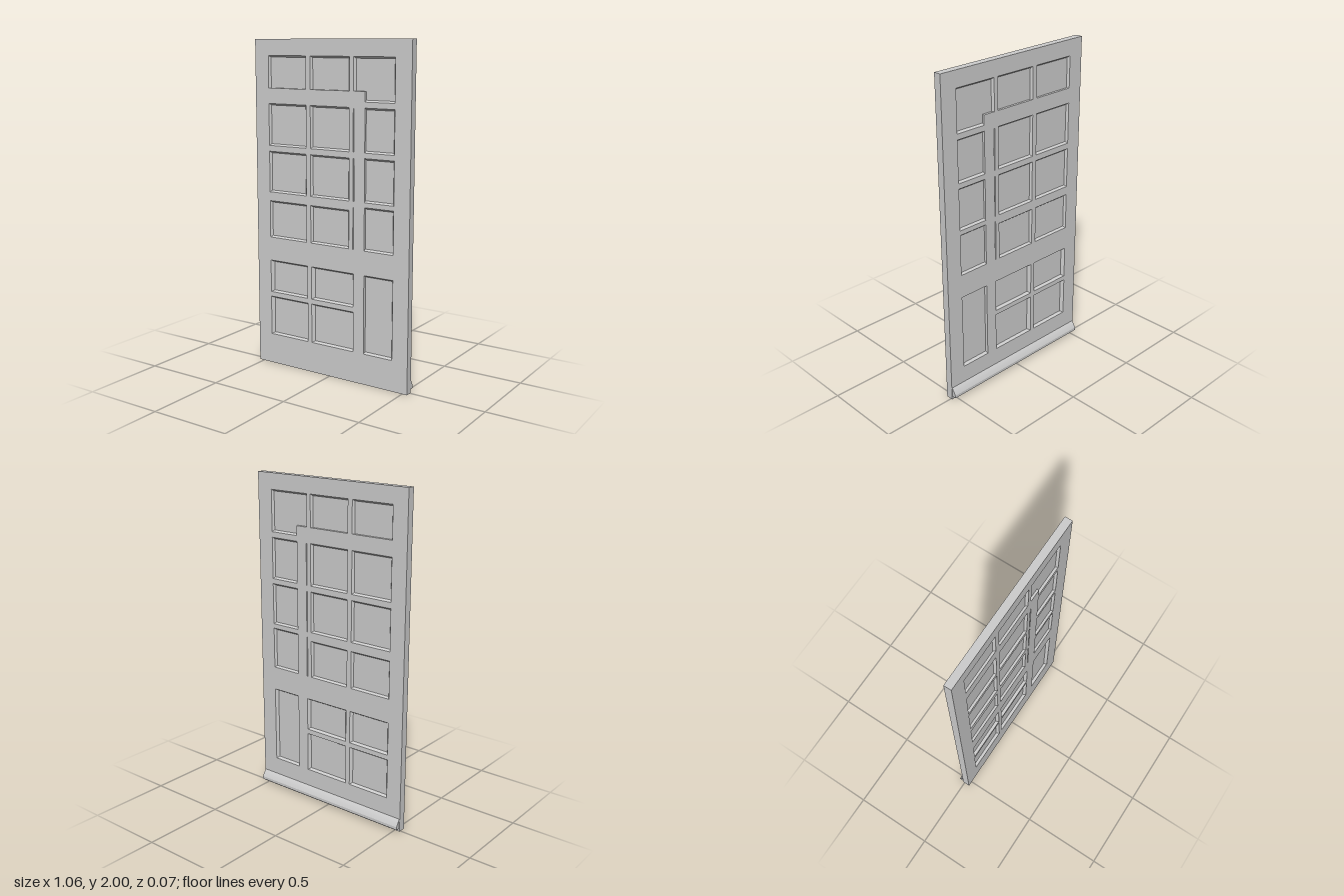
import * as THREE from 'three';

const W = 0.532, H = 2, FRONT = 0.036, BACK = -0.009;

// Rectangular recess: outer outline and the outline inset by its moulding
function rect(x0, x1, y0, y1, [l, r, b, t], depth) {
  const corners = (a, c, d, e) => [[a, d], [c, d], [c, e], [a, e]];
  return { outer: corners(x0, x1, y0, y1), inner: corners(x0 + l, x1 - r, y0 + b, y1 - t), depth };
}

function recesses() {
  const list = [], up = 0.013, low = 0.018;
  const L = [-0.435, -0.165], M = [-0.134, 0.134], R = [0.238, 0.43];
  const m = 0.01;
  // upper grid
  for (const [x0, x1] of [L, M]) {
    list.push(rect(x0, x1, 1.713, 1.904, [m, m, 0.001, m], up));
    for (const [y0, y1] of [[1.371, 1.622], [1.088, 1.336], [0.807, 1.034]])
      list.push(rect(x0, x1, y0, y1, [m, m, m, m], up));
  }
  // narrow column, with the thin slots left beside its wide stile
  for (const [y0, y1] of [[1.371, 1.622], [1.088, 1.34], [0.807, 1.06]]) {
    list.push(rect(...R, y0, y1, [0.001, m, m, m], up));
    list.push(rect(0.161, 0.167, y0, Math.min(y1, y0 + 0.247), [0.001, 0.001, 0.001, 0.001], up));
  }
  // stepped top corner recess
  list.push({
    outer: [[0.238, 1.655], [0.43, 1.655], [0.43, 1.904], [0.162, 1.904], [0.162, 1.713], [0.238, 1.713]],
    inner: [[0.239, 1.665], [0.42, 1.665], [0.42, 1.894], [0.172, 1.894], [0.172, 1.714], [0.239, 1.714]],
    depth: up,
  });
  // lower panels
  const deep = [0.015, 0.012, 0.009, 0.011];
  for (const [x0, x1] of [[-0.435, -0.159], [-0.13, 0.166]])
    for (const [y0, y1] of [[0.461, 0.662], [0.188, 0.431]])
      list.push(rect(x0, x1, y0, y1, deep, low));
  list.push(rect(...R, 0.188, 0.662, [0.001, 0.012, 0.009, 0.011], low));
  return list;
}

const vecs = (pts) => pts.map(([x, y]) => new THREE.Vector2(x, y));

// Turn a front-facing flat geometry to face the back
function faceBack(geo) {
  const idx = geo.index.array;
  for (let i = 0; i < idx.length; i += 3) [idx[i], idx[i + 1]] = [idx[i + 1], idx[i]];
  const n = geo.attributes.normal;
  for (let i = 0; i < n.count; i++) n.setXYZ(i, -n.getX(i), -n.getY(i), -n.getZ(i));
  return geo;
}

// Sloping moulding between two outlines
function mouldingGeometry({ outer, inner }, z0, z1, back) {
  const pos = [];
  outer.forEach((a, i) => {
    const j = (i + 1) % outer.length;
    const p = [[...a, z0], [...outer[j], z0], [...inner[j], z1], [...inner[i], z1]];
    for (const k of back ? [0, 2, 1, 0, 3, 2] : [0, 1, 2, 0, 2, 3]) pos.push(...p[k]);
  });
  const geo = new THREE.BufferGeometry();
  geo.setAttribute('position', new THREE.Float32BufferAttribute(pos, 3));
  geo.computeVertexNormals();
  return geo;
}

export function createModel() {
  const door = new THREE.Group();
  door.name = 'door';
  const paint = new THREE.MeshStandardMaterial({ color: 0xcccccc });
  paint.name = 'grey paint';
  const add = (name, geo) => {
    const mesh = new THREE.Mesh(geo, paint);
    mesh.name = name;
    door.add(mesh);
    return mesh;
  };

  // Pierced faces, mouldings and sunken panels on both sides
  const list = recesses();
  for (const back of [false, true]) {
    const side = back ? 'back' : 'front', z = back ? BACK : FRONT;
    const flat = (shape, at) => {
      const geo = new THREE.ShapeGeometry(shape).translate(0, 0, at);
      return back ? faceBack(geo) : geo;
    };
    const face = new THREE.Shape(vecs([[-W, 0], [W, 0], [W, H], [-W, H]]));
    for (const r of list) {
      face.holes.push(new THREE.Path(vecs(r.outer)));
      const zp = z + (back ? r.depth : -r.depth);
      add(side + 'Moulding', mouldingGeometry(r, z, zp, back));
      add(side + 'Panel', flat(new THREE.Shape(vecs(r.inner)), zp));
    }
    add(side + 'Face', flat(face, z));
  }

  // Slab edges
  const mid = (FRONT + BACK) / 2, thick = FRONT - BACK;
  for (const s of [-1, 1]) {
    add(s > 0 ? 'leftEdge' : 'rightEdge', new THREE.PlaneGeometry(thick, H)
      .rotateY(s * Math.PI / 2).translate(s * W, H / 2, mid));
    add(s > 0 ? 'topEdge' : 'bottomEdge', new THREE.PlaneGeometry(2 * W, thick)
      .rotateX(-s * Math.PI / 2).translate(0, s > 0 ? H : 0, mid));
  }

  // Weather bar along the foot of the back; profile drawn as (-z, y)
  const bar = new THREE.Shape();
  bar.moveTo(-BACK, 0.02);
  bar.lineTo(0.036, 0.02);
  bar.lineTo(0.036, 0.038);
  bar.quadraticCurveTo(0.024, 0.064, -BACK, 0.08);
  const barLength = 2 * W - 0.006;
  add('weatherBar', new THREE.ExtrudeGeometry(bar, { depth: barLength, bevelEnabled: false, curveSegments: 8 })
    .translate(0, 0, -barLength / 2).rotateY(Math.PI / 2));
  // rotateY sends the profile's +x to -z
  return door;
}
